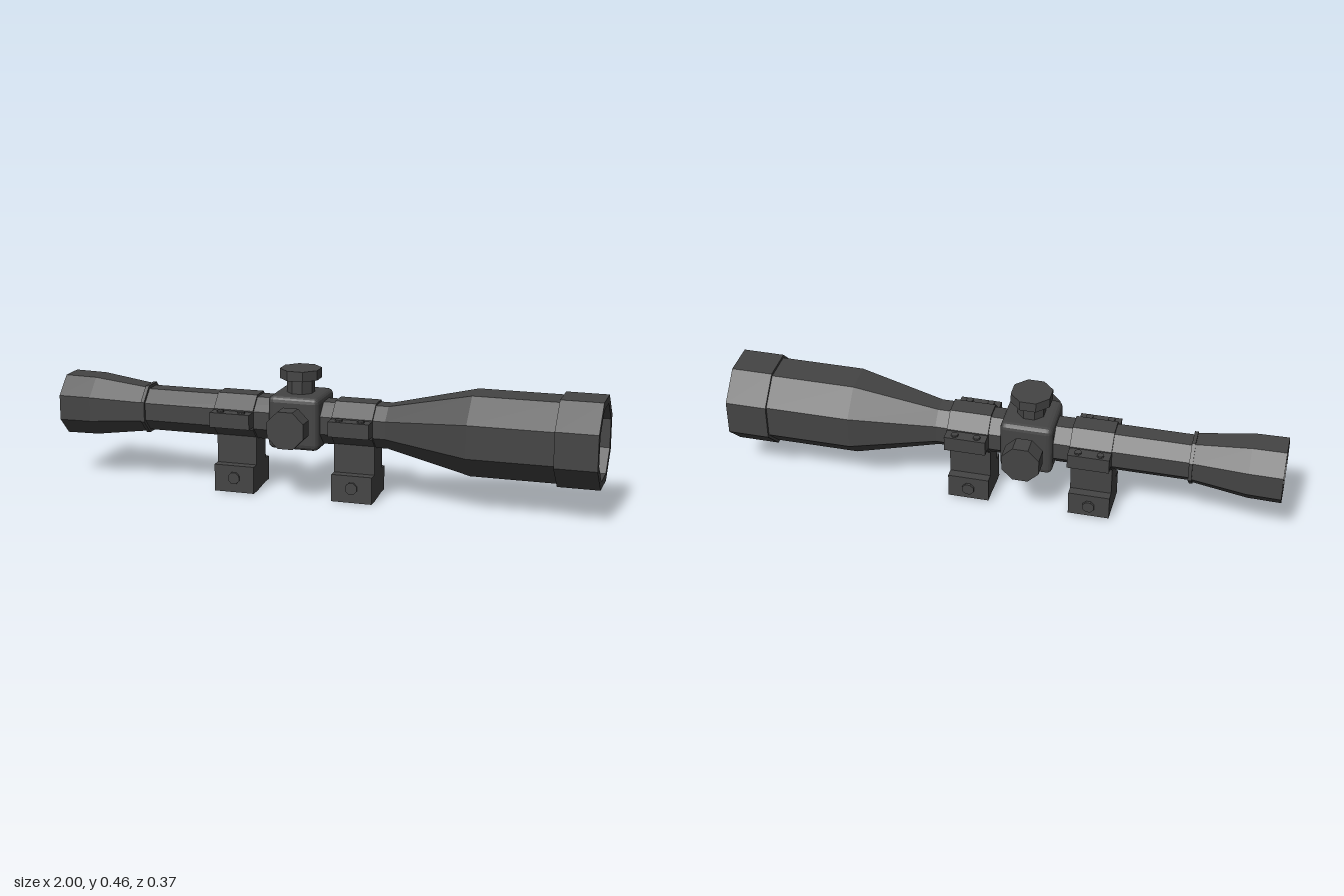
import * as THREE from 'three';
import { RoundedBoxGeometry } from 'three/addons/geometries/RoundedBoxGeometry.js';

const AXIS_Y = 0.274;   // height of the optical axis
const TURRET_X = -0.095;
const OCT = Math.cos(Math.PI / 8); // apothem to corner radius

export function createModel() {
  const group = new THREE.Group();
  const metal = new THREE.MeshStandardMaterial({ color: 0x444444, flatShading: true });
  metal.name = 'dark metal';

  const add = (name, geometry, x = 0, y = 0, z = 0, parent = group) => {
    const mesh = new THREE.Mesh(geometry, metal);
    mesh.name = name;
    mesh.position.set(x, y, z);
    parent.add(mesh);
    return mesh;
  };

  // Eight-sided prism along y, with flats facing the axes
  const octagon = (apothem, height) =>
    new THREE.CylinderGeometry(apothem / OCT, apothem / OCT, height, 8, 1, false, Math.PI / 8);

  // Octagonal body along x; each profile point is [x, apothem]
  const body = (profile) => new THREE.LatheGeometry(
    profile.map(([x, a]) => new THREE.Vector2(a / OCT, x)), 8, Math.PI / 8
  ).rotateZ(-Math.PI / 2);

  // Tube with recessed eyepiece, collar, bell and recessed objective
  add('scopeTube', body([
    [-0.88, 0], [-0.88, 0.07], [-0.98, 0.092], [-1, 0.092],
    [-1, 0.11], [-0.88, 0.108], [-0.685, 0.083],
    [-0.685, 0.088], [-0.672, 0.088], [-0.672, 0.077],
    [0.24, 0.077], [0.545, 0.144], [0.85, 0.144],
    [0.85, 0.154], [1, 0.154],
    [1, 0.126], [0.92, 0.125], [0.8, 0.078], [0.8, 0]
  ]), 0, AXIS_Y);

  // Turret housing
  add('turretHousing', new RoundedBoxGeometry(0.19, 0.195, 0.2, 2, 0.022), TURRET_X, 0.2775, 0);

  // Top adjustment knob
  add('topKnobStem', octagon(0.047, 0.07), TURRET_X, 0.4, 0);
  add('topKnobCap', octagon(0.07, 0.036), TURRET_X, 0.444, 0);

  // Side adjustment knobs
  for (const s of [1, -1]) {
    const stem = add('sideKnobStem', octagon(0.047, 0.04), TURRET_X, AXIS_Y, s * 0.11);
    const cap = add('sideKnobCap', octagon(0.067, 0.065), TURRET_X, AXIS_Y, s * 0.1525);
    stem.rotation.x = cap.rotation.x = s * Math.PI / 2;
  }

  // Mount foot section in (z, y): the underside steps up towards the back
  const footShape = new THREE.Shape([
    [-0.085, 0], [-0.045, 0], [0.04, 0.01], [0.083, 0.01], [0.083, 0.1], [-0.085, 0.1]
  ].map(([a, b]) => new THREE.Vector2(a, b)));
  const footGeometry = new THREE.ExtrudeGeometry(footShape, { depth: 0.15, bevelEnabled: false });
  footGeometry.translate(0, 0, -0.075).rotateY(Math.PI / 2);

  // Two mounting rings
  for (const x of [-0.325, 0.12]) {
    const mount = new THREE.Group();
    mount.name = 'mount';
    mount.position.x = x;
    group.add(mount);
    add('mountFoot', footGeometry, 0, 0, 0, mount);
    add('mountNeck', new THREE.BoxGeometry(0.15, 0.13, 0.1), 0, 0.155, 0, mount);
    add('clampRing', octagon(0.084, 0.15).rotateZ(-Math.PI / 2), 0, AXIS_Y, 0, mount);
    for (const s of [1, -1]) {
      add('clampFlange', new THREE.BoxGeometry(0.15, 0.055, 0.06), 0, 0.277, s * 0.098, mount);
      for (const sx of [-0.04, 0.04])
        add('flangeScrew', octagon(0.012, 0.008), sx, 0.307, s * 0.108, mount);
      const bolt = add('footBolt', octagon(0.021, 0.02), 0, 0.054, s * 0.083, mount);
      bolt.rotation.x = Math.PI / 2;
    }
  }
  return group;
}
